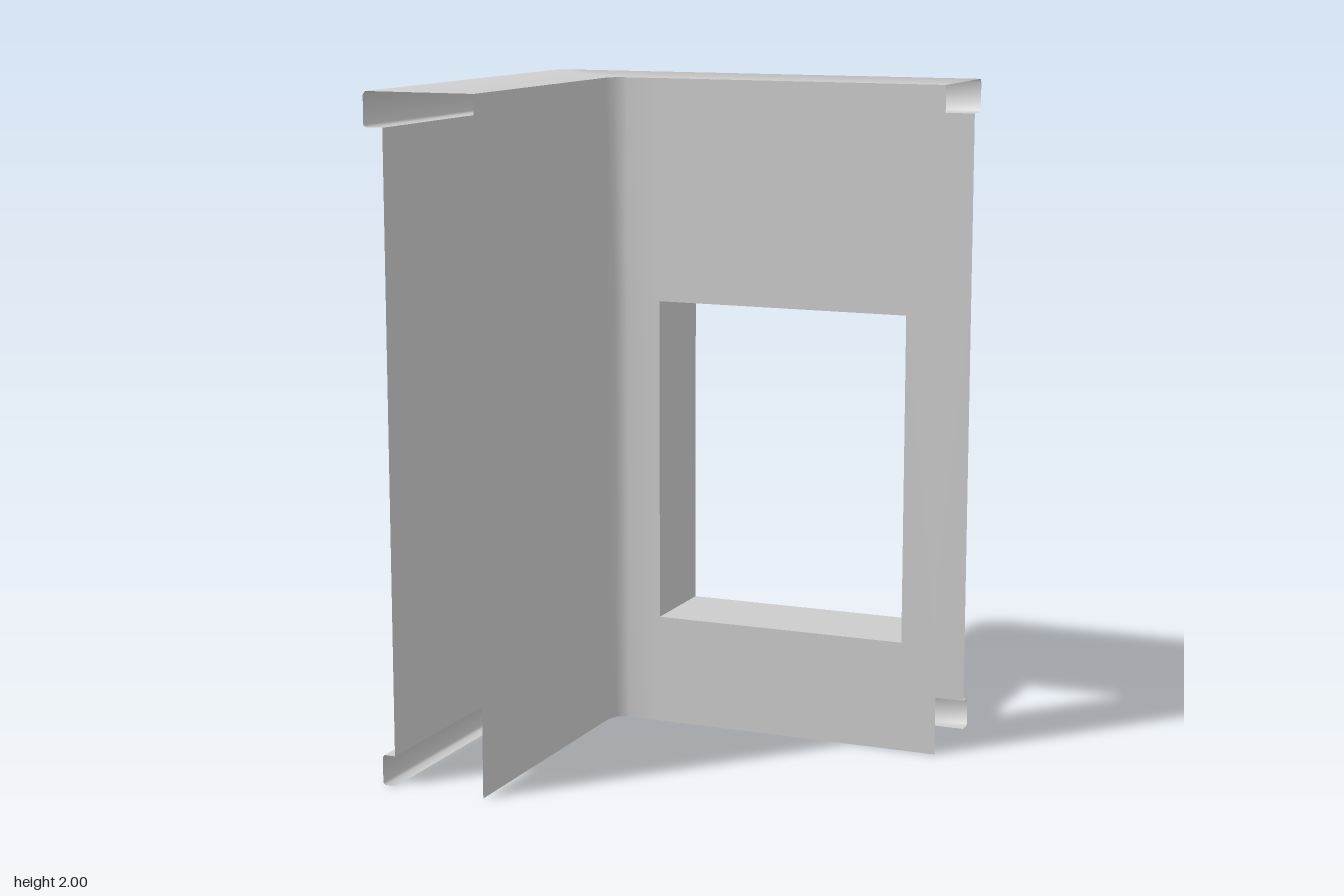
import * as THREE from 'three';
import { toCreasedNormals } from 'three/addons/utils/BufferGeometryUtils.js';

const material = new THREE.MeshStandardMaterial({ color: 0xcccccc, side: THREE.DoubleSide });

// Window opening in the rear wall, and the two faces of that wall
const win = { x0: -0.2, x1: 0.59, y0: 0.335, y1: 1.325 };
const OUTER_X = -0.64, OUTER_Z = -0.565, INNER = -0.285;

// L-shaped run with a softened corner; d moves it outwards from the outer wall
function runPath(d) {
  const x = OUTER_X - d, z = OUTER_Z - d;
  return [
    [x, 0.625], [x, z + 0.05], [x + 0.012, z + 0.014], [x + 0.05, z],
    [win.x0, z], [win.x1, z], [0.7, z],
  ];
}

// Thin surface through rows of points; skip(row, column) leaves a cell open
function surface(name, rows, skip = () => false) {
  const pos = [];
  for (let r = 0; r < rows.length - 1; r++) {
    for (let c = 0; c < rows[r].length - 1; c++) {
      if (skip(r, c)) continue;
      const a0 = rows[r][c], b0 = rows[r][c + 1];
      const a1 = rows[r + 1][c], b1 = rows[r + 1][c + 1];
      pos.push(...a0, ...a1, ...b1, ...a0, ...b1, ...b0);
    }
  }
  const geo = new THREE.BufferGeometry();
  geo.setAttribute('position', new THREE.Float32BufferAttribute(pos, 3));
  geo.computeVertexNormals();
  const mesh = new THREE.Mesh(toCreasedNormals(geo, 0.95), material);
  mesh.name = name;
  return mesh;
}

// Sweep a profile of [outward offset, height] along the L-shaped run
const sweep = (name, profile, skip) =>
  surface(name, profile.map(([d, y]) => runPath(d).map(([x, z]) => [x, y, z])), skip);

export function createModel() {
  const group = new THREE.Group();
  group.name = 'cornerWall';
  const windowCell = (r, c) => r === 1 && c === 4;

  // Wall skins, each with the window cell left open
  group.add(sweep('outerWall', [[0, 0.09], [0, win.y0], [0, win.y1], [0, 1.9]], windowCell));
  group.add(sweep('innerWall', [[INNER, 2], [INNER, win.y1], [INNER, win.y0], [INNER, 0]], windowCell));

  // Overhanging cap that also closes the top
  group.add(sweep('topCap', [
    [0, 1.9], [0.054, 1.9], [0.06, 1.906], [0.06, 1.99], [0.052, 2], [INNER, 2],
  ]));

  // Hollow base trim with a return under its foot
  group.add(sweep('baseTrim', [
    [0, 0], [0.034, 0], [0.04, 0.006], [0.04, 0.084], [0.034, 0.09], [0, 0.09],
  ]));

  // Window reveal joining the two skins
  const loop = [
    [win.x0, win.y0], [win.x1, win.y0], [win.x1, win.y1], [win.x0, win.y1], [win.x0, win.y0],
  ];
  group.add(surface('windowReveal',
    [OUTER_Z, OUTER_Z - INNER].map((z) => loop.map(([x, y]) => [x, y, z]))));

  return group;
}
